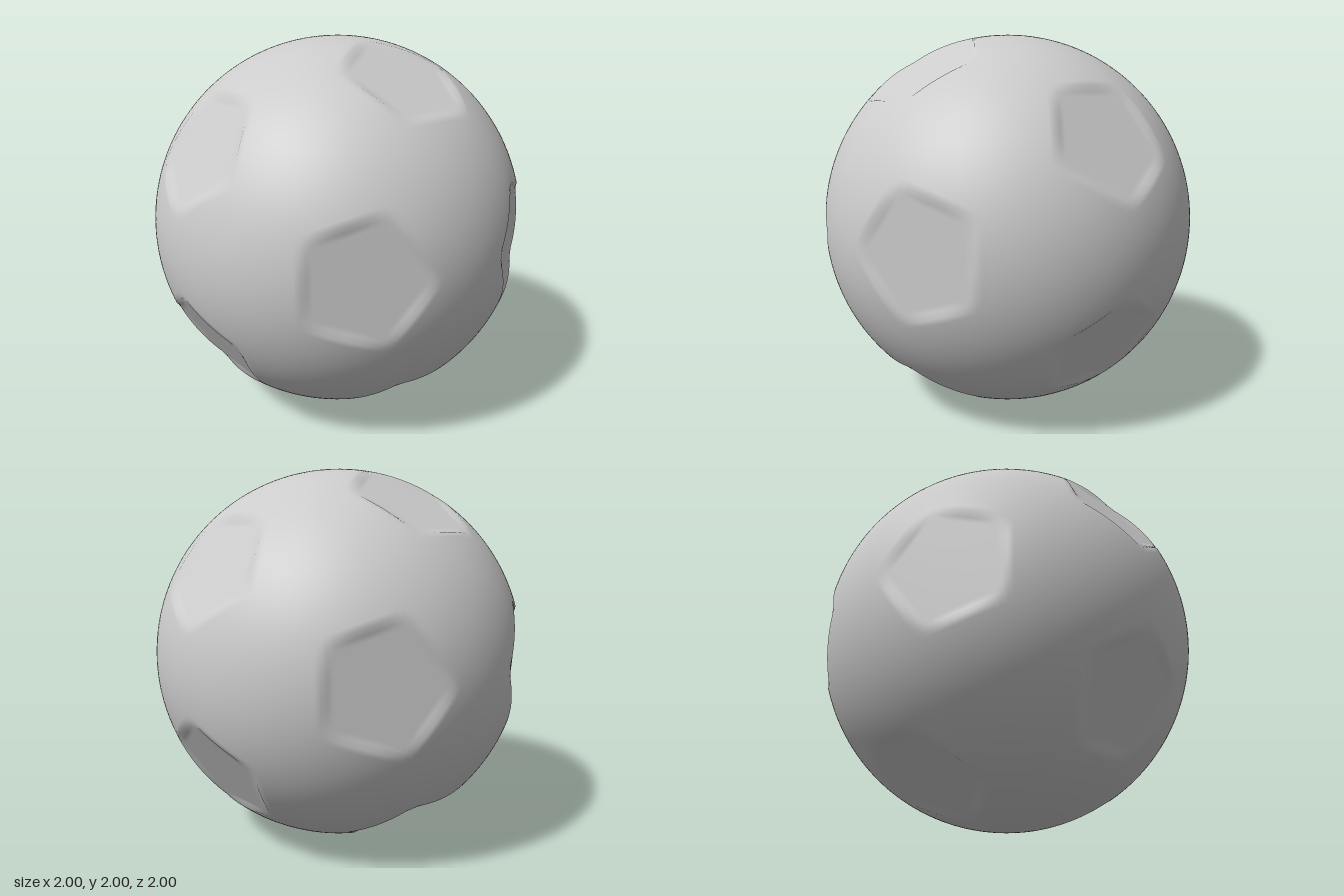
import * as THREE from 'three';
import { mergeVertices } from 'three/addons/utils/BufferGeometryUtils.js';

const ROWS = 36;     // divisions per icosahedron edge; a multiple of 3 puts grid lines on the pentagon borders
const FLAT = 0.947;  // distance of each flat from the centre

// The 12 directions in which the pentagonal flats face
function flatDirections() {
  const t = (1 + Math.sqrt(5)) / 2, dirs = [];
  for (const a of [-1, 1]) for (const b of [-t, t]) {
    dirs.push(new THREE.Vector3(a, 0, b), new THREE.Vector3(0, b, a), new THREE.Vector3(b, a, 0));
  }
  return dirs.map(d => d.normalize());
}

function flattenedBall() {
  let geo = new THREE.IcosahedronGeometry(1, ROWS - 1);
  geo.rotateY(Math.PI / 2);
  geo.deleteAttribute('uv');
  geo.deleteAttribute('normal');
  geo = mergeVertices(geo, 1e-4);

  const dirs = flatDirections();
  const g = 1 / Math.sqrt(5), k = g / (1 + 2 * g);
  const pos = geo.attributes.position, v = new THREE.Vector3();
  for (let i = 0; i < pos.count; i++) {
    v.fromBufferAttribute(pos, i).normalize();
    // Weight of the nearest direction among the three around this point
    const d = dirs.map(n => n.dot(v)).sort((a, b) => b - a);
    const sum = d[0] + d[1] + d[2];
    const weight = (d[0] - k * sum) / (sum * (1 - 3 * k));
    // Inside a pentagon the sphere is pressed onto a plane
    if (weight > 2 / 3 + 1e-3) v.multiplyScalar(Math.min(1, FLAT / d[0]));
    pos.setXYZ(i, v.x, v.y, v.z);
  }
  geo.computeVertexNormals();
  return geo;
}

export function createModel() {
  const group = new THREE.Group();
  group.name = 'flattenedBall';
  const ball = new THREE.Mesh(flattenedBall(), new THREE.MeshStandardMaterial({ color: 0xcccccc }));
  ball.name = 'ball';
  ball.position.y = 1;
  group.add(ball);
  return group;
}
